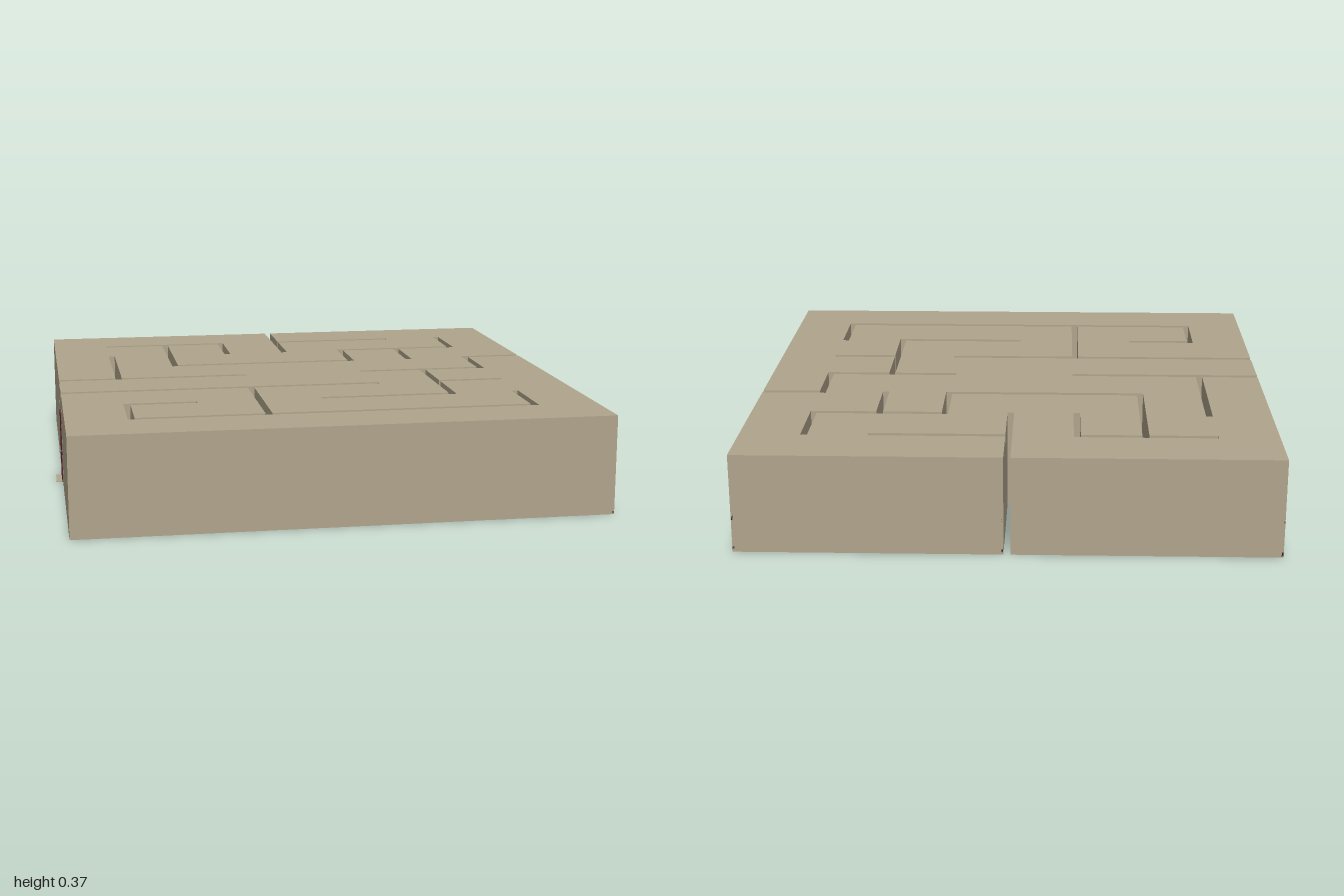
import * as THREE from 'three';
import { mergeGeometries } from 'three/addons/utils/BufferGeometryUtils.js';

const S = 0.2469, HALF = 0.0125, H = 0.365, N = 15;
const DOOR_W = 0.115, DOOR_H = 0.265, DOOR_Z = S / 2;

// Partition slots on the 8 x 8 cell lattice: x0, z0, x1, z1
const SLOTS = [
  [0, -4, 0, -2], [-3, -3, -1, -3], [-1, -3, -1, -2], [-2, -3, -2, -1],
  [-2, -1, 1, -1], [1, -2, 1, -1], [1, -2, 3, -2], [3, -3, 3, -2],
  [2, -2, 2, -1], [0, -3, 2, -3], [-3, -2, -3, 0], [-4, 0, -1, 0],
  [1, 0, 3, 0], [3, -1, 3, 0], [3, -1, 4, -1], [2, 0, 2, 2],
  [2, 1, 3, 1], [-4, 1, 1, 1], [-1, 1, -1, 3], [-3, 3, 3, 3],
  [-3, 2, -3, 3], [-3, 2, -2, 2], [0, 2, 2, 2], [3, 2, 3, 3],
];

// Cells without a floor, one string per row from the back
const OPEN_FLOOR = ['1111....', '1.11111.', '1.111...', '1.......'];

// Edge positions of the alternating cell and slot strips
const edge = (j) => (Math.ceil(j / 2) - 4) * S + (j % 2 ? -HALF : HALF);
const mid = (j) => (edge(j) + edge(j + 1)) / 2;
const size = (j) => edge(j + 1) - edge(j);

function slotGrid() {
  const grid = Array.from({ length: N }, () => new Array(N).fill(false));
  const tile = (k) => Math.min(N - 1, Math.max(0, 2 * (k + 4) - 1));
  for (const [x0, z0, x1, z1] of SLOTS)
    for (let i = tile(x0); i <= tile(x1); i++)
      for (let j = tile(z0); j <= tile(z1); j++) grid[i][j] = true;
  return grid;
}

// A strip tile is open only when every cell it joins is open
function isOpenFloor(i, j) {
  for (const a of [Math.floor(i / 2), Math.ceil(i / 2)])
    for (const b of [Math.floor(j / 2), Math.ceil(j / 2)])
      if (OPEN_FLOOR[b]?.[a] !== '1') return false;
  return true;
}

export function createModel() {
  const group = new THREE.Group();
  const material = (name, color, side = THREE.FrontSide) => {
    const m = new THREE.MeshStandardMaterial({ color, side });
    m.name = name;
    return m;
  };
  const plaster = material('beige plaster', 0xb0a58c, THREE.DoubleSide);
  const red = material('dark red', 0x5c1f2d, THREE.DoubleSide);
  const trim = material('dark trim', 0x3a1a1e);
  const metal = material('grey metal', 0x8c8880);

  const add = (name, parts, mat) => {
    const mesh = new THREE.Mesh(Array.isArray(parts) ? mergeGeometries(parts) : parts, mat);
    mesh.name = name;
    group.add(mesh);
  };

  const grid = slotGrid();
  const ceiling = [], floor = [], walls = [], doors = [], rails = [], knobs = [];

  for (let i = 0; i < N; i++) for (let j = 0; j < N; j++) {
    if (grid[i][j]) continue;
    const x = mid(i), z = mid(j);
    const slab = (y, rx) => new THREE.PlaneGeometry(size(i), size(j)).rotateX(rx).translate(x, y, z);
    ceiling.push(slab(H, -Math.PI / 2));
    if (!isOpenFloor(i, j)) floor.push(slab(0, -Math.PI / 2));

    // Wall faces wherever the corridor meets a slot or the outside
    for (const [dx, dz] of [[1, 0], [-1, 0], [0, 1], [0, -1]]) {
      const ni = i + dx, nj = j + dz;
      if (ni >= 0 && ni < N && nj >= 0 && nj < N && !grid[ni][nj]) continue;
      const w = dx ? size(j) : size(i);
      const px = x + dx * size(i) / 2, pz = z + dz * size(j) / 2;
      const place = (g) => g.rotateY(Math.atan2(dx, dz)).translate(px, 0, pz);
      walls.push(place(new THREE.PlaneGeometry(w, H).translate(0, H / 2, 0)));
      // Baseboard and rail on the corridor side
      for (const y of [0.012, 0.13])
        rails.push(place(new THREE.BoxGeometry(w, 0.016, 0.006).translate(0, y, -0.004)));
      // One door in the middle of each cell wall
      if (i % 2 === 0 && j % 2 === 0) {
        doors.push(place(new THREE.BoxGeometry(DOOR_W, DOOR_H, 0.02)
          .translate(0, DOOR_H / 2 + 0.001, -0.0115)));
        knobs.push(place(new THREE.SphereGeometry(0.006, 6, 4).translate(0.042, 0.12, -0.025)));
      }
    }
  }
  add('ceiling', ceiling, plaster);
  add('floor', floor, red);
  add('walls', walls, plaster);
  add('corridorDoors', doors, red);
  add('corridorRails', rails, trim);
  add('doorKnobs', knobs, metal);

  // Outer doors at the two ends of the middle corridor
  const end = edge(N);
  add('leftOuterDoor', new THREE.BoxGeometry(1 - end, DOOR_H, DOOR_W)
    .translate((1 + end) / 2, DOOR_H / 2, DOOR_Z), red);
  add('rightOuterDoor', new THREE.BoxGeometry(0.003, DOOR_H, DOOR_W)
    .translate(-end - 0.0015, DOOR_H / 2, DOOR_Z), red);
  add('rightDoorstep', new THREE.BoxGeometry(1 - end, 0.002, DOOR_W)
    .translate(-(1 + end) / 2, 0.001, DOOR_Z), plaster);
  add('rightOuterKnob', new THREE.SphereGeometry(0.005, 6, 4)
    .translate(-end - 0.006, 0.12, DOOR_Z + 0.042), metal);
  return group;
}
